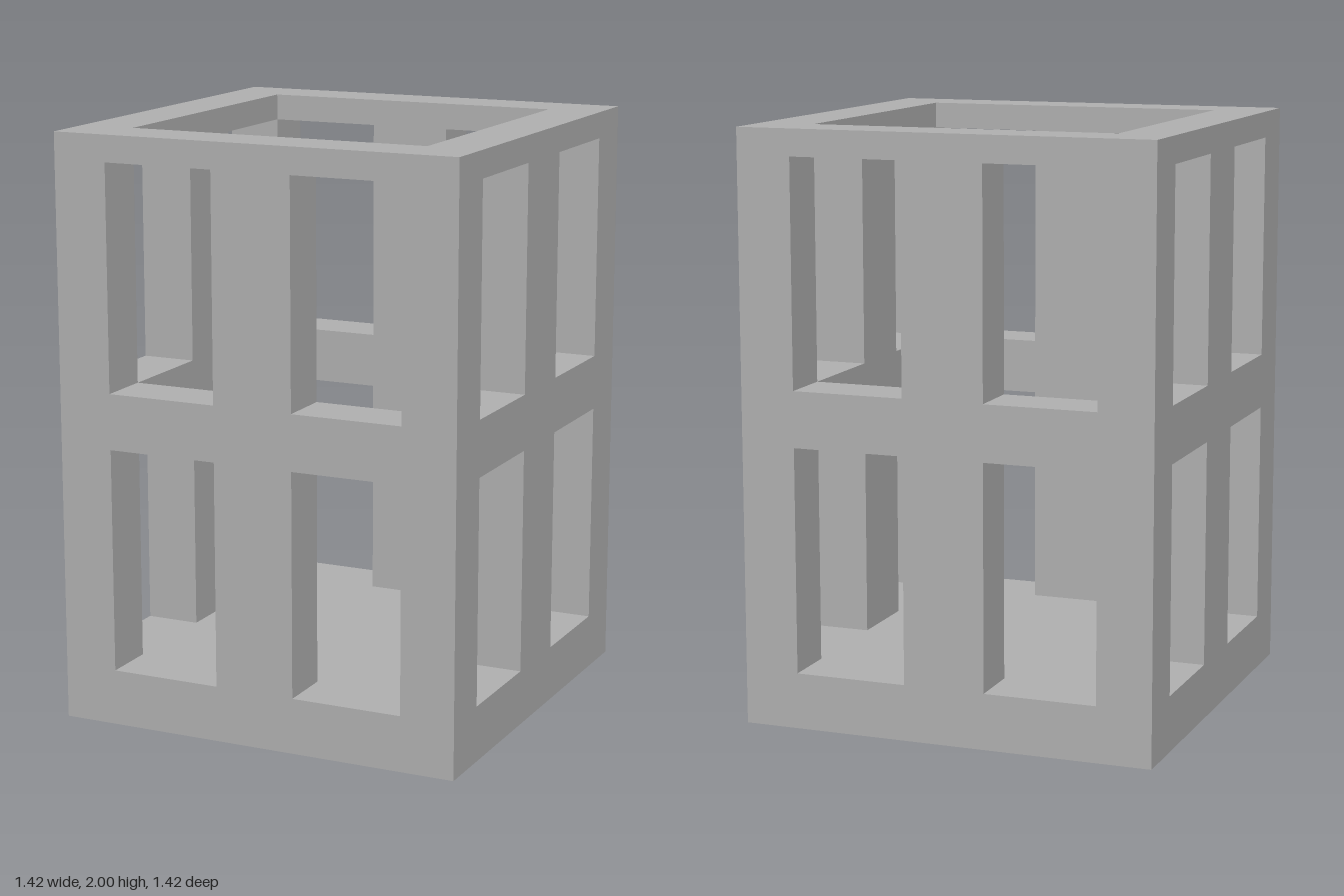
import * as THREE from 'three';

const OUT = 0.7125;   // half width outside
const INN = 0.525;    // half width inside
const MID = 0.14;     // half width of the middle posts
const WALL = OUT - INN;

export function createModel() {
  const model = new THREE.Group();
  model.name = 'windowedTower';
  const grey = new THREE.MeshStandardMaterial({ color: 0xb2b2b2 });

  const add = (name, geometry, x, y, z) => {
    const mesh = new THREE.Mesh(geometry, grey);
    mesh.name = name;
    mesh.position.set(x, y, z);
    model.add(mesh);
  };

  // Square outline of a given half width
  const square = (Type, h) => new Type([[-h, -h], [h, -h], [h, h], [-h, h]].map(([x, y]) => new THREE.Vector2(x, y)));

  // Square ring of rails between two heights
  const ring = (name, y0, y1) => {
    const shape = square(THREE.Shape, OUT);
    shape.holes.push(square(THREE.Path, INN));
    const geometry = new THREE.ExtrudeGeometry(shape, { depth: y1 - y0, bevelEnabled: false });
    add(name, geometry.rotateX(-Math.PI / 2), 0, y0, 0);
  };

  // Solid floor, flush with the lower sills
  add('floor', new THREE.BoxGeometry(2 * OUT, 0.19, 2 * OUT), 0, 0.095, 0);
  ring('middleRail', 0.955, 1.145);
  ring('topRail', 1.91, 2);

  // Posts of each storey
  const c = (OUT + INN) / 2;
  for (const [storey, y0, y1] of [['lower', 0.19, 0.955], ['upper', 1.145, 1.91]]) {
    const h = y1 - y0, y = (y0 + y1) / 2;
    for (const s of [-1, 1]) {
      for (const t of [-1, 1]) add(storey + 'CornerPost', new THREE.BoxGeometry(WALL, h, WALL), s * c, y, t * c);
      add(storey + 'MiddlePost', new THREE.BoxGeometry(2 * MID, h, WALL), 0, y, s * c);
      add(storey + 'SidePost', new THREE.BoxGeometry(WALL, h, 2 * MID), s * c, y, 0);
    }
  }
  return model;
}
